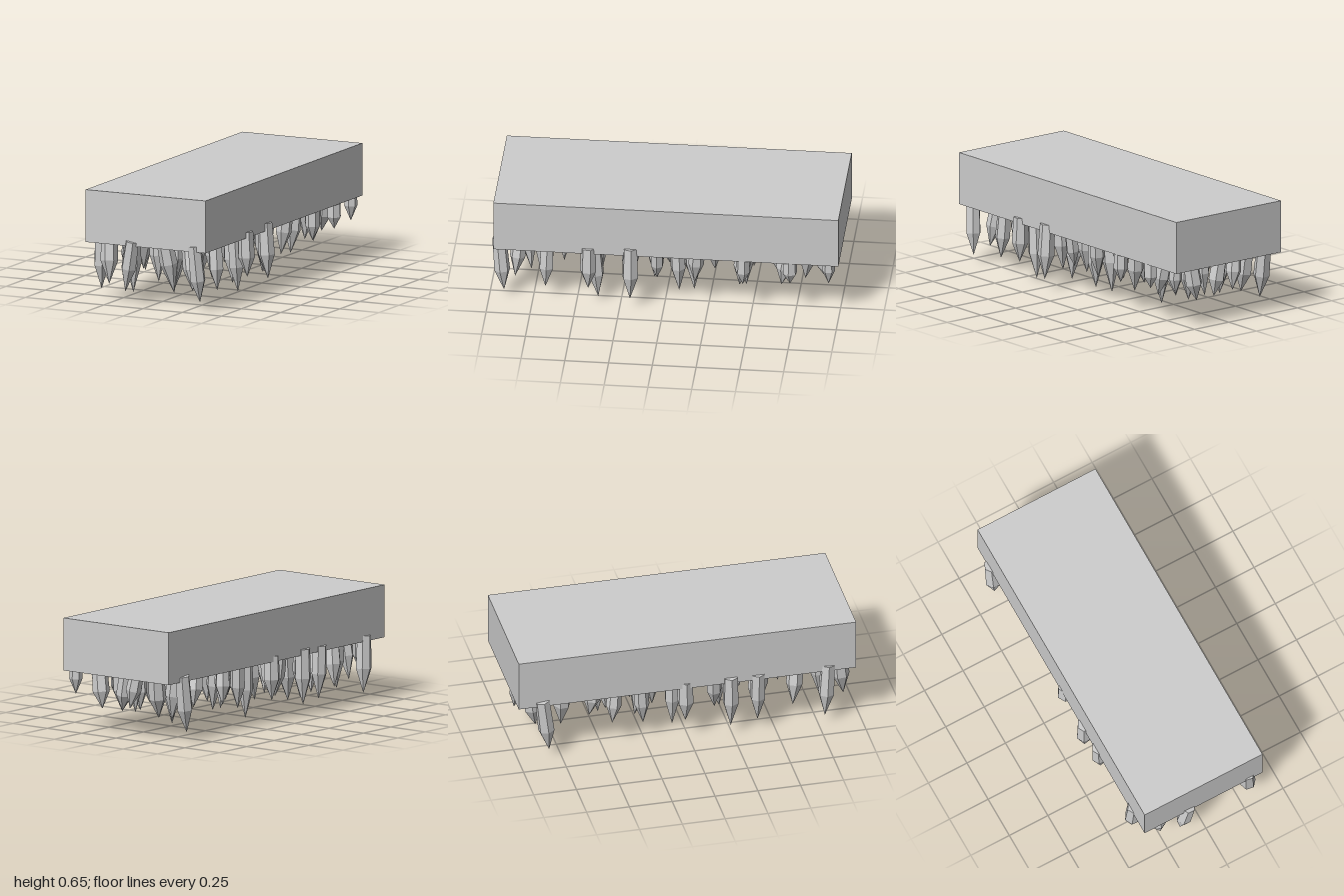
import * as THREE from 'three';

const stone = new THREE.MeshStandardMaterial({ color: 0xcccccc, flatShading: true });
stone.name = 'grey stone';

// Small seeded generator for the variation in lean, girth and turn
function seeded(seed) {
  return () => {
    seed = (seed * 16807) % 2147483647;
    return seed / 2147483647;
  };
}

// Six-sided hanging crystal: flat top square to its axis, wider shoulder, pointed tip
function crystalGeometry(x, z, topY, tipY, radius, leanX, leanZ, turn, shoulder) {
  const g = new THREE.CylinderGeometry(1, 0, 1, 6, 2);
  g.rotateY(turn);
  const p = g.attributes.position;
  const drop = topY - tipY;
  for (let i = 0; i < p.count; i++) {
    const level = Math.round((0.5 - p.getY(i)) * 2); // 0 top, 1 shoulder, 2 tip
    const t = [0, shoulder, 1][level];
    const r = radius * [0.9, 2, 0][level];
    const dx = p.getX(i) * r;
    const dz = p.getZ(i) * r;
    const tilt = (dx * leanX + dz * leanZ) / drop;
    p.setXYZ(i, x + dx + leanX * t, topY - drop * t + tilt, z + dz + leanZ * t);
  }
  g.computeVertexNormals();
  return g;
}

// Each crystal: x, z, height of the tip and, where it matters, the lean along x and z
const backCrystals = [
  [0.34, -0.94, 0.21, 0, 0], [0.2, -0.9, 0.14], [-0.01, -0.91, 0.14], [-0.1, -0.93, 0.17],
  [-0.21, -0.9, 0.12], [-0.37, -0.86, 0.05, 0, 0.04], [0.13, -0.81, 0.11], [0.04, -0.79, 0.12],
  [0.345, -0.72, 0.2, 0, 0], [0.22, -0.7, 0.13], [-0.2, -0.7, 0.08], [0.13, -0.64, 0.1],
  [0.09, -0.52, 0.18], [0.345, -0.45, 0.18, 0, 0], [0.23, -0.45, 0.1], [0.04, -0.44, 0.0, 0, 0],
  [-0.06, -0.43, 0.11], [-0.19, -0.51, 0.14], [-0.31, -0.42, 0.15],
];
const middleCrystals = [
  [0.06, -0.25, 0.08], [-0.17, -0.24, 0.09], [-0.3, -0.27, 0.1], [0.31, -0.19, 0.14],
  [0.18, -0.15, 0.03], [-0.05, -0.15, 0.04], [0.09, -0.1, 0.08], [0.32, 0.04, 0.16],
  [0.22, -0.06, 0.05], [-0.19, -0.06, 0.005, 0, 0], [0.19, 0.05, 0.1], [0.05, 0.03, 0.1],
  [-0.35, -0.02, 0.12, 0, 0], [0.365, 0.19, 0.07, 0.02, 0], [0.26, 0.2, 0.1], [0.15, 0.21, 0.03, 0.02, 0],
  [-0.01, 0.2, 0.05], [-0.13, 0.19, 0.07], [-0.26, 0.17, 0.1], [-0.37, 0.24, 0.06, 0, 0],
];
const frontCrystals = [
  [0.365, 0.43, 0.12, 0.01, 0], [0.28, 0.41, 0.02, 0.01, -0.03], [0.18, 0.46, 0.1],
  [0.05, 0.4, 0.06], [-0.06, 0.46, 0.015, 0, 0.03], [-0.19, 0.45, 0.05], [-0.28, 0.42, 0.1],
  [-0.365, 0.4, 0.07, 0.01, 0], [0.29, 0.67, 0.08, 0.02, 0.01], [0.16, 0.69, 0.07], [0.0, 0.6, 0.08],
  [-0.25, 0.65, 0.1], [0.2, 0.83, 0.1], [0.04, 0.82, 0.06], [-0.17, 0.79, 0.05],
  [-0.36, 0.81, 0.05, -0.01, -0.02], [0.3, 0.945, 0.05, 0.02, -0.03],
  [-0.09, 0.957, 0.08, -0.05, -0.01], [-0.27, 0.89, 0.11],
];

export function createModel() {
  const model = new THREE.Group();
  model.name = 'crystalCeilingBlock';

  // Rectangular slab
  const slab = new THREE.Mesh(new THREE.BoxGeometry(0.764, 0.303, 1.97), stone);
  slab.name = 'slab';
  slab.position.set(0.001, 0.4995, -0.015);
  model.add(slab);

  // Hanging crystals in three clusters
  const rand = seeded(417);
  const vary = (a, b) => a + (b - a) * rand();
  const clusters = { backCrystals, middleCrystals, frontCrystals };
  for (const [name, list] of Object.entries(clusters)) {
    const group = new THREE.Group();
    group.name = name;
    for (const [x, z, tipY, leanX = vary(-0.05, 0.05), leanZ = vary(-0.04, 0.04)] of list) {
      const radius = tipY > 0.15 ? vary(0.038, 0.044) : vary(0.043, 0.052);
      const geometry = crystalGeometry(x, z, vary(0.37, 0.395), tipY, radius,
        leanX, leanZ, vary(0, 1), vary(0.48, 0.62));
      const crystal = new THREE.Mesh(geometry, stone);
      crystal.name = 'crystal';
      group.add(crystal);
    }
    model.add(group);
  }
  return model;
}
